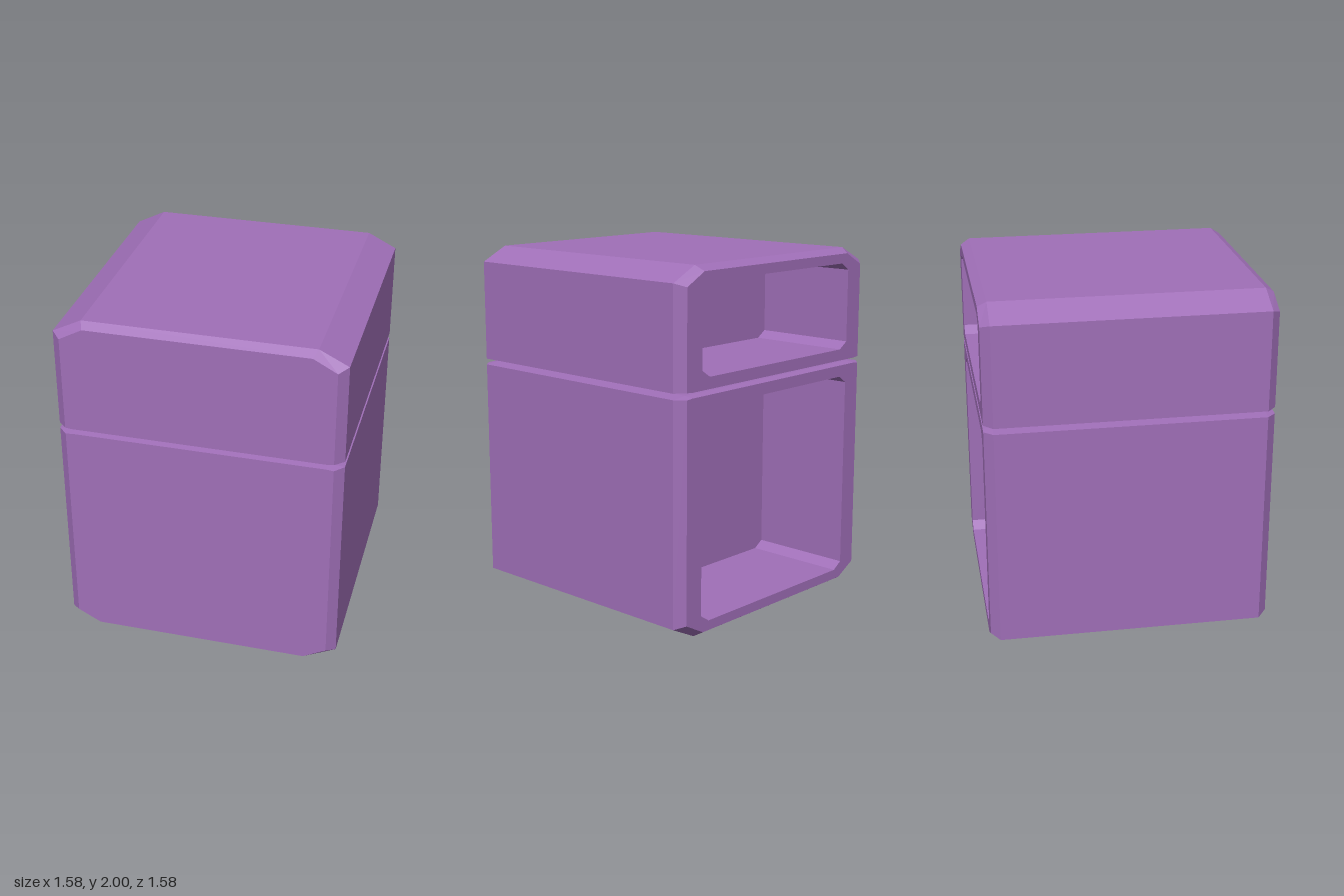
import * as THREE from 'three';

const material = new THREE.MeshStandardMaterial({ color: 0xa06fb8, flatShading: true });

// Rectangle with cut corners, counter-clockwise seen from +z.
// [bx, by] is the cut at the bottom corners, [tx, ty] at the top ones.
function section(z, w, y0, y1, [bx, by], [tx, ty]) {
  return [
    [w, y0 + by], [w, y1 - ty], [w - tx, y1], [-w + tx, y1],
    [-w, y1 - ty], [-w, y0 + by], [-w + bx, y0], [w - bx, y0],
  ].map(([x, y]) => new THREE.Vector3(x, y, z));
}

// Skins a row of sections and closes the first and last with a fan.
function loft(rings) {
  const pos = [];
  const tri = (...pts) => pts.forEach((p) => pos.push(p.x, p.y, p.z));
  const n = rings[0].length;
  const centre = (ring) => ring.reduce((s, p) => s.add(p), new THREE.Vector3()).divideScalar(n);
  const first = rings[0], last = rings[rings.length - 1];
  const c0 = centre(first), c1 = centre(last);
  for (let k = 0; k < n; k++) {
    const m = (k + 1) % n;
    for (let i = 0; i < rings.length - 1; i++) {
      const a = rings[i], b = rings[i + 1];
      tri(a[k], b[k], b[m]);
      tri(a[k], b[m], a[m]);
    }
    tri(c0, first[k], first[m]);
    tri(c1, last[m], last[k]);
  }
  const geo = new THREE.BufferGeometry();
  geo.setAttribute('position', new THREE.Float32BufferAttribute(pos, 3));
  geo.computeVertexNormals();
  return geo;
}

// Bevelled box with a recess opening to the back.
function hollowBox(name, outer, face, opening) {
  const rings = [
    section(0.79, 0.74, ...face),
    section(0.74, 0.79, ...outer),
    section(-0.74, 0.79, ...outer),
    section(-0.79, 0.74, ...face),
    section(-0.79, 0.625, ...opening),
    section(-0.18, 0.625, ...opening),
  ];
  const mesh = new THREE.Mesh(loft(rings), material);
  mesh.name = name;
  return mesh;
}

export function createModel() {
  const group = new THREE.Group();
  group.name = 'stackedBoxes';
  const wide = [0.16, 0.08], wideFace = [0.13, 0.07];
  const slim = [0.09, 0.01], slimFace = [0.04, 0.004];
  const cut = [0.06, 0.04];

  // Tall lower box, with wide cuts at its bottom
  group.add(hollowBox('lowerBox',
    [0, 1.333, wide, slim],
    [0.03, 1.325, wideFace, slimFace],
    [0.085, 1.26, cut, cut]));

  // Short upper box, with wide cuts at its top
  group.add(hollowBox('upperBox',
    [1.347, 2, slim, wide],
    [1.355, 1.97, slimFace, wideFace],
    [1.42, 1.915, cut, cut]));

  return group;
}
